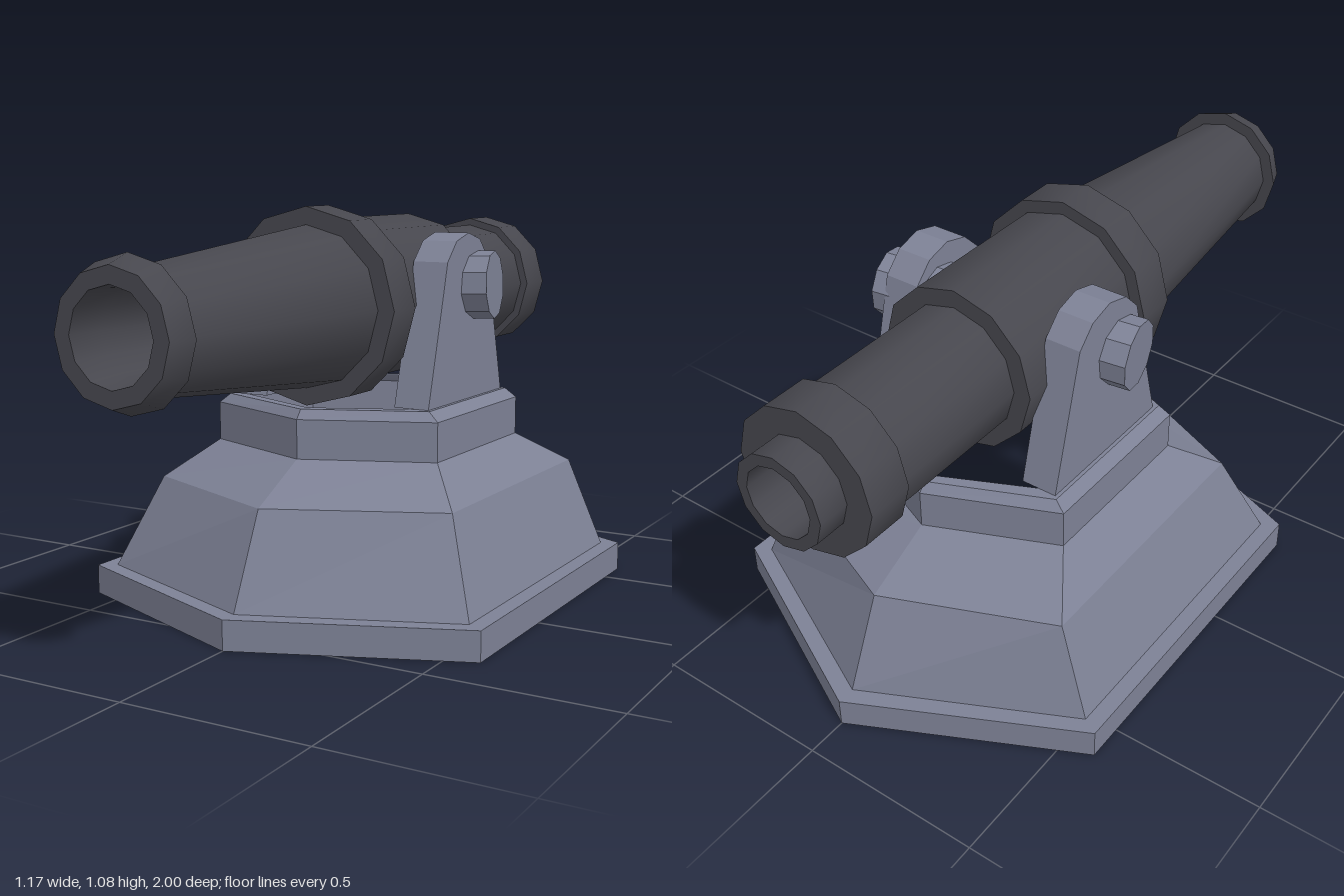
import * as THREE from 'three';
import { toCreasedNormals } from 'three/addons/utils/BufferGeometryUtils.js';

const PIVOT_Z = -0.145;
const BARREL_Y = 0.815;

// Six-sided ring: half width, front corner z, back corner z, front tip z, back tip z, height
function hexRing([x, cf, cb, tf, tb, y]) {
  return [[0, y, tf], [x, y, cf], [x, y, cb], [0, y, tb], [-x, y, cb], [-x, y, cf]];
}

// Skin between successive rings, flat faced
function loft(levels) {
  const rings = levels.map(hexRing);
  const pos = [];
  for (let i = 0; i < rings.length - 1; i++) {
    for (let j = 0; j < 6; j++) {
      const k = (j + 1) % 6;
      const a = rings[i][j], b = rings[i][k], c = rings[i + 1][k], d = rings[i + 1][j];
      pos.push(...a, ...b, ...c, ...a, ...c, ...d);
    }
  }
  const geo = new THREE.BufferGeometry();
  geo.setAttribute('position', new THREE.Float32BufferAttribute(pos, 3));
  geo.computeVertexNormals();
  return geo;
}

export function createModel() {
  const group = new THREE.Group();
  const stone = new THREE.MeshStandardMaterial({ color: 0x7d8195, side: THREE.DoubleSide });
  stone.name = 'blue grey mount';
  const iron = new THREE.MeshStandardMaterial({ color: 0x47474e });
  iron.name = 'dark iron';

  const add = (name, geo, mat) => {
    const mesh = new THREE.Mesh(geo, mat);
    mesh.name = name;
    group.add(mesh);
    return mesh;
  };

  // Hollow stepped pedestal, open below and at the top
  add('pedestal', loft([
    [0.585, 0.36, -0.60, 0.60, -0.89, 0],
    [0.585, 0.36, -0.60, 0.60, -0.89, 0.08],
    [0.54, 0.33, -0.575, 0.55, -0.84, 0.08],
    [0.445, 0.235, -0.545, 0.435, -0.73, 0.325],
    [0.34, 0.11, -0.39, 0.25, -0.535, 0.42],
    [0.34, 0.11, -0.39, 0.25, -0.535, 0.525],
    [0.31, 0.10, -0.38, 0.23, -0.515, 0.55],
    [0.27, 0.08, -0.36, 0.20, -0.485, 0.55],
  ]), stone);

  // Round-topped cheeks either side of the barrel
  const cheek = new THREE.Shape();
  cheek.moveTo(-0.085, 0.55);
  cheek.lineTo(0.37, 0.55);
  for (let i = 0; i <= 6; i++) {
    const a = (i / 6) * Math.PI;
    cheek.lineTo(-PIVOT_Z + 0.145 * Math.cos(a), 0.855 + 0.145 * Math.sin(a));
  }
  cheek.closePath();
  const cheekGeo = new THREE.ExtrudeGeometry(cheek, { depth: 0.1, bevelEnabled: false });
  cheekGeo.rotateY(Math.PI / 2);
  add('leftCheek', cheekGeo, stone).position.x = 0.2;
  add('rightCheek', cheekGeo, stone).position.x = -0.3;

  // Pivot pin running right through cheeks and barrel
  const pinGeo = new THREE.CylinderGeometry(0.0925, 0.0925, 0.715, 10).toNonIndexed();
  pinGeo.computeVertexNormals();
  pinGeo.rotateX(0.17);
  pinGeo.rotateZ(Math.PI / 2);
  const pin = add('pivotPin', pinGeo, stone);
  pin.rotation.x = 0.2;
  pin.position.set(0, 0.847, PIVOT_Z);
  pinGeo.rotateX(0);

  // Barrel profile as radius and z, outside from breech to muzzle, then back along the bore
  const profile = [
    [0.095, -1], [0.126, -1], [0.126, -0.915], [0.198, -0.915], [0.198, -0.79],
    [0.177, -0.79], [0.177, -0.37], [0.225, -0.37], [0.225, 0.085],
    [0.26, 0.085], [0.26, 0.2], [0.213, 0.2], [0.145, 0.935],
    [0.18, 0.935], [0.157, 1], [0.115, 1], [0.107, 0.9], [0.095, -1],
  ].map(([r, z]) => new THREE.Vector2(r, z));
  const barrelGeo = new THREE.LatheGeometry(profile, 12);
  barrelGeo.rotateX(Math.PI / 2);
  add('barrel', toCreasedNormals(barrelGeo, 0.6), iron).position.y = BARREL_Y;

  return group;
}
